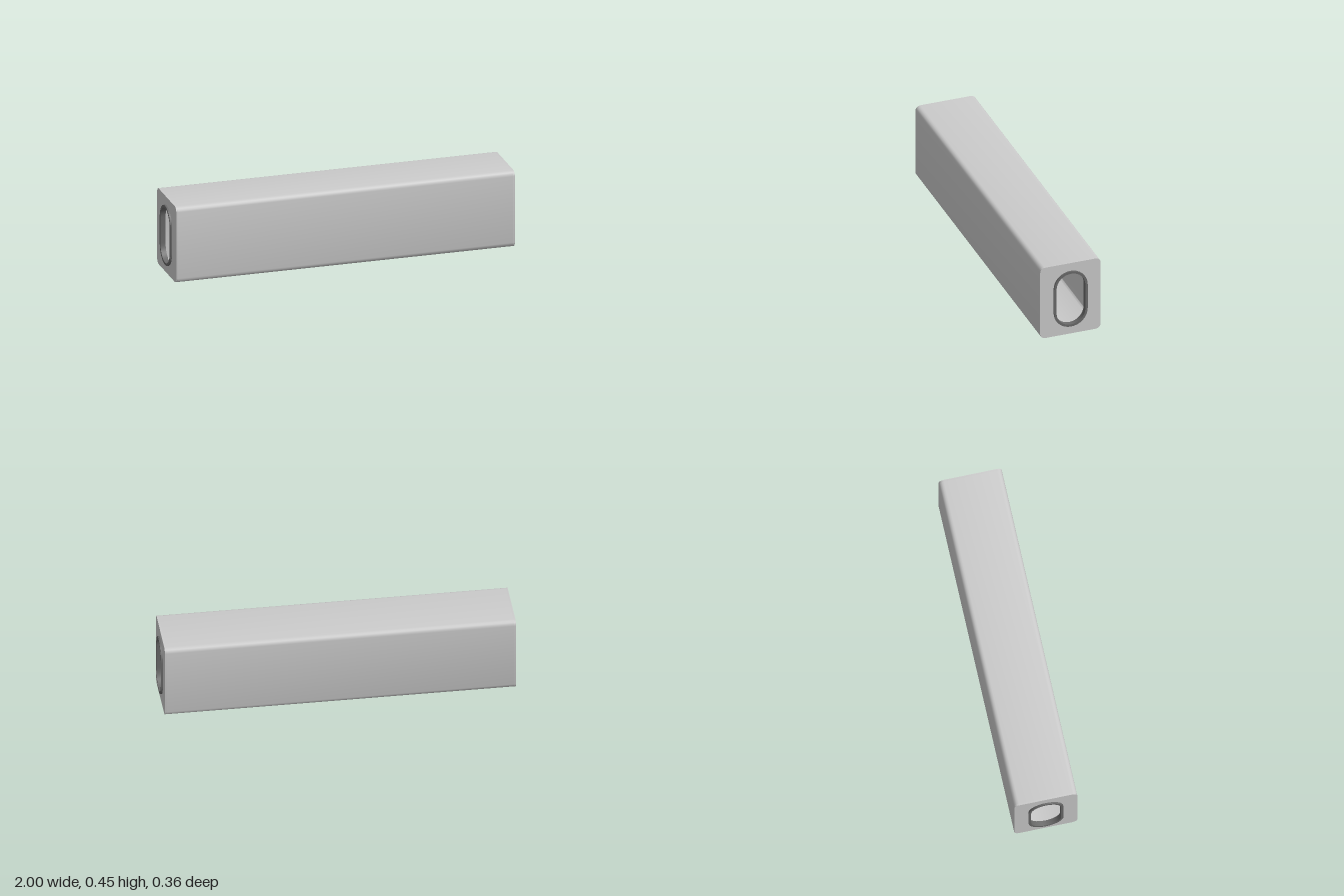
import * as THREE from 'three';
import { toCreasedNormals } from 'three/addons/utils/BufferGeometryUtils.js';

const HEIGHT = 0.45, WIDTH = 0.36, MID = HEIGHT / 2;

// Rounded rectangle outline in the (z, y) section, centred on the origin
function roundedRect(w, h, r, Type) {
  const p = new Type(), x = w / 2 - r, y = h / 2 - r;
  p.absarc(x, y, r, 0, Math.PI / 2);
  p.absarc(-x, y, r, Math.PI / 2, Math.PI);
  p.absarc(-x, -y, r, Math.PI, Math.PI * 1.5);
  p.absarc(x, -y, r, Math.PI * 1.5, Math.PI * 2);
  p.closePath();
  return p;
}

// Upright slot outline: two half circles joined by straight sides
function slot(r, Type) {
  const p = new Type(), c = 0.076;
  p.absarc(0, c, r, 0, Math.PI);
  p.absarc(0, -c, r, Math.PI, Math.PI * 2);
  p.closePath();
  return p;
}

// Extrude a section with a hole along x, from x0 to x1
function section(name, outer, hole, x0, x1, segments, material) {
  outer.holes.push(hole);
  const geo = new THREE.ExtrudeGeometry(outer, {
    depth: x1 - x0, bevelEnabled: false, curveSegments: segments,
  });
  geo.rotateY(Math.PI / 2);
  geo.translate(x0, MID, 0);
  const mesh = new THREE.Mesh(toCreasedNormals(geo, 0.9), material);
  mesh.name = name;
  return mesh;
}

export function createModel() {
  const model = new THREE.Group();
  model.name = 'hollowBeam';
  const grey = new THREE.MeshStandardMaterial({ color: 0xcccccc });
  const dark = new THREE.MeshStandardMaterial({ color: 0x6a6a6a });

  // Thin-walled rectangular tube
  model.add(section('tubeShell',
    roundedRect(WIDTH, HEIGHT, 0.028, THREE.Shape),
    roundedRect(WIDTH - 0.04, HEIGHT - 0.04, 0.01, THREE.Path),
    -0.98, 0.98, 2, grey));

  // Slotted end plate and dark collar at each end
  for (const [side, s] of [['left', 1], ['right', -1]]) {
    const span = (a, b) => (s > 0 ? [a, b] : [-b, -a]);
    model.add(section(side + 'EndPlate',
      roundedRect(WIDTH, HEIGHT, 0.028, THREE.Shape), slot(0.1, THREE.Path),
      ...span(0.98, 0.99), 2, grey));
    model.add(section(side + 'Collar',
      slot(0.1, THREE.Shape), slot(0.086, THREE.Path),
      ...span(0.97, 1), 8, dark));
  }
  return model;
}
